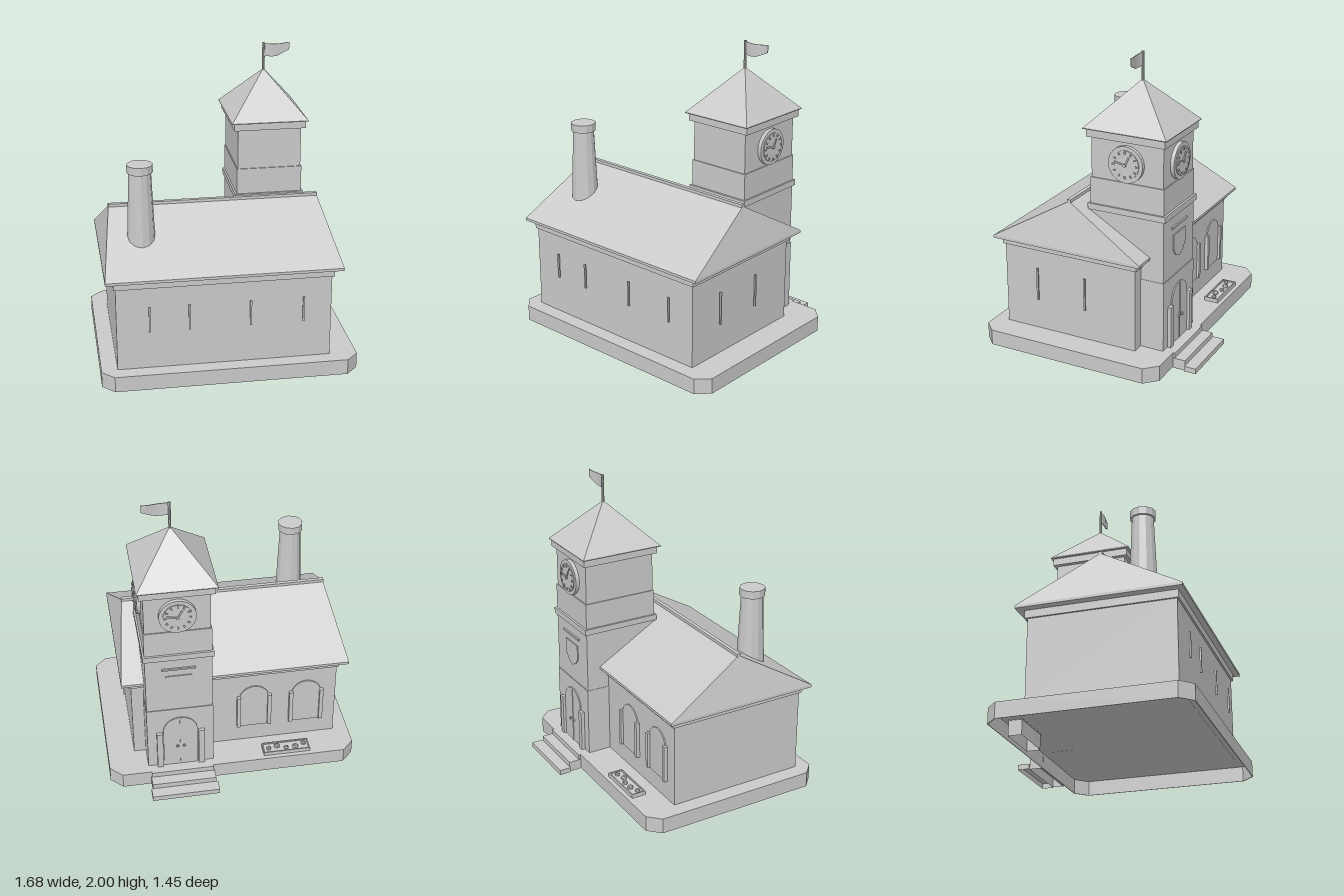
import * as THREE from 'three';
import { ConvexGeometry } from 'three/addons/geometries/ConvexGeometry.js';

// Double sided because the steps and planter are shells without a bottom
const stone = new THREE.MeshStandardMaterial({ color: 0xcacaca, flatShading: true, side: THREE.DoubleSide });
stone.name = 'light grey';

function add(parent, name, geometry, x = 0, y = 0, z = 0) {
  const mesh = new THREE.Mesh(geometry, stone);
  mesh.name = name;
  mesh.position.set(x, y, z);
  parent.add(mesh);
  return mesh;
}

// Box given by its limits on each axis
function box(parent, name, x0, x1, y0, y1, z0, z1) {
  return add(parent, name, new THREE.BoxGeometry(x1 - x0, y1 - y0, z1 - z0),
    (x0 + x1) / 2, (y0 + y1) / 2, (z0 + z1) / 2);
}

// The same box without its bottom face
function openBox(...args) {
  const { geometry } = box(...args);
  const index = Array.from(geometry.index.array);
  index.splice(18, 6);
  geometry.setIndex(index);
  geometry.clearGroups();
}

// Box centred on (x, z)
function block(parent, name, x, z, halfX, halfZ, y0, y1) {
  return box(parent, name, x - halfX, x + halfX, y0, y1, z - halfZ, z + halfZ);
}

// Solid roof: eaves rectangle with a thin rim, rising to a ridge (or a point)
function roof(parent, name, x0, x1, z0, z1, y0, y1, ridgeX0, ridgeX1, ridgeZ, top) {
  const points = [];
  for (const x of [x0, x1]) for (const z of [z0, z1]) for (const y of [y0, y1])
    points.push(new THREE.Vector3(x, y, z));
  points.push(new THREE.Vector3(ridgeX0, top, ridgeZ));
  if (ridgeX1 !== ridgeX0) points.push(new THREE.Vector3(ridgeX1, top, ridgeZ));
  return add(parent, name, new ConvexGeometry(points));
}

// Extruded shape facing the back (-z), starting on the wall at z
function backPlate(parent, name, shape, x, y, z, depth) {
  const geometry = new THREE.ExtrudeGeometry(shape, { depth, bevelEnabled: false, curveSegments: 10 });
  const mesh = add(parent, name, geometry, x, y, z);
  mesh.rotation.y = Math.PI;
  return mesh;
}

function archShape(half, spring) {
  const s = new THREE.Shape();
  s.moveTo(-half, 0);
  s.lineTo(half, 0);
  s.lineTo(half, spring);
  s.absarc(0, spring, half, 0, Math.PI, false);
  s.closePath();
  return s;
}

// Outline of the base: rectangle with cut corners
function cutCorners(x, z, c) {
  return [[-x + c, -z], [x - c, -z], [x, -z + c], [x, z - c],
    [x - c, z], [-x + c, z], [-x, z - c], [-x, -z + c]].map(p => new THREE.Vector2(...p));
}

// Horizontal slab of a shape, from y upwards
function slab(parent, name, shape, y, depth) {
  const geometry = new THREE.ExtrudeGeometry(shape, { depth, bevelEnabled: false });
  geometry.rotateX(-Math.PI / 2);
  add(parent, name, geometry, 0, y, 0.08);
}

// Clock facing +z with its back at z = 0
function makeClock(name) {
  const clock = new THREE.Group();
  clock.name = name;
  const disc = (part, r, depth, z) => {
    const g = new THREE.CylinderGeometry(r, r, depth, 24);
    g.rotateX(Math.PI / 2);
    return add(clock, part, g, 0, 0, z + depth / 2);
  };
  disc('clockCase', 0.12, 0.025, 0);
  disc('clockFace', 0.095, 0.006, 0.025);
  for (let i = 0; i < 12; i++) {
    const a = i * Math.PI / 6;
    const tick = add(clock, 'hourMark', new THREE.BoxGeometry(0.009, 0.015, 0.008),
      Math.sin(a) * 0.08, Math.cos(a) * 0.08, 0.034);
    tick.rotation.z = -a;
  }
  const hand = (part, length, angle) => {
    const g = new THREE.BoxGeometry(0.01, length, 0.006);
    g.translate(0, length / 2, 0);
    add(clock, part, g, 0, 0, 0.036).rotation.z = angle;
  };
  hand('hourHand', 0.058, -0.5);
  hand('minuteHand', 0.072, 1.35);
  disc('clockHub', 0.01, 0.014, 0.029);
  return clock;
}

export function createModel() {
  const model = new THREE.Group();
  model.name = 'townHall';

  // Hollow base, open below: a thin rim under a top plate
  const rim = new THREE.Shape(cutCorners(0.84, 0.64, 0.08));
  rim.holes.push(new THREE.Path(cutCorners(0.836, 0.636, 0.079)));
  slab(model, 'baseRim', rim, 0, 0.105);
  slab(model, 'baseTop', new THREE.Shape(cutCorners(0.839, 0.639, 0.08)), 0.101, 0.004);

  // Steps behind the base
  openBox(model, 'step', 0.145, 0.565, 0, 0.105, -0.575, -0.555);
  openBox(model, 'step', 0.14, 0.57, 0, 0.07, -0.648, -0.565);
  openBox(model, 'step', 0.128, 0.58, 0, 0.035, -0.727, -0.648);

  // Hall
  box(model, 'hallWalls', -0.735, 0.659, 0.1, 0.68, -0.335, 0.62);
  box(model, 'hallCornice', -0.747, 0.673, 0.67, 0.722, -0.35, 0.632);
  roof(model, 'hallRoof', -0.8, 0.725, -0.397, 0.67, 0.722, 0.74, -0.73, 0.655, 0.135, 1.05);
  box(model, 'ridgeCap', -0.733, 0.657, 1.035, 1.062, 0.122, 0.148);

  // Slim window bars standing just off the front and left walls
  for (const x of [-0.523, -0.268, 0.128, 0.473])
    box(model, 'frontWindowBar', x - 0.006, x + 0.006, 0.37, 0.54, 0.632, 0.643);
  for (const z of [0.37, 0.02])
    box(model, 'sideWindowBar', 0.674, 0.685, 0.32, 0.545, z - 0.006, z + 0.006);

  // Arched back windows with jambs
  for (const x of [-0.17, -0.53]) {
    backPlate(model, 'backWindow', archShape(0.1, 0.24), x, 0.23, -0.335, 0.008);
    for (const s of [-1, 1])
      block(model, 'windowJamb', x + s * 0.105, -0.345, 0.013, 0.015, 0.235, 0.49);
  }

  // Chimney
  add(model, 'chimneyStack', new THREE.CylinderGeometry(0.071, 0.094, 0.56, 12), -0.54, 1.085, 0.355);
  add(model, 'chimneyCap', new THREE.CylinderGeometry(0.083, 0.083, 0.052, 12), -0.54, 1.376, 0.355);

  // Clock tower
  const tx = 0.357, tz = -0.235;
  block(model, 'towerFoot', tx, tz, 0.222, 0.262, 0.1, 0.58);
  block(model, 'towerBody', tx, tz, 0.219, 0.257, 0.57, 1.21);
  block(model, 'towerBand', tx, tz, 0.231, 0.272, 0.995, 1.035);
  block(model, 'clockRoom', tx, tz, 0.212, 0.25, 1.2, 1.49);
  block(model, 'towerCornice', tx, tz, 0.24, 0.272, 1.48, 1.535);
  roof(model, 'towerRoof', 0.1, 0.61, -0.52, 0.055, 1.53, 1.535, tx, tx, tz, 1.825);

  const leftClock = makeClock('leftClock');
  leftClock.position.set(tx + 0.212, 1.335, tz);
  leftClock.rotation.y = Math.PI / 2;
  const backClock = makeClock('backClock');
  backClock.position.set(tx, 1.335, tz - 0.25);
  backClock.rotation.y = Math.PI;
  model.add(leftClock, backClock);

  // Arched double door with posts and handles
  backPlate(model, 'door', archShape(0.115, 0.29), tx, 0.105, -0.497, 0.008);
  box(model, 'doorSeam', tx - 0.004, tx + 0.004, 0.105, 0.5, -0.509, -0.504);
  for (const s of [-1, 1]) {
    block(model, 'doorPost', tx + s * 0.14, -0.505, 0.02, 0.016, 0.105, 0.39);
    add(model, 'doorHandle', new THREE.IcosahedronGeometry(0.011, 0), tx + s * 0.022, 0.27, -0.513);
  }

  // Plain shield with a bar above it
  box(model, 'shieldBar', tx - 0.11, tx + 0.11, 0.91, 0.922, -0.503, -0.49);
  const shield = new THREE.Shape([[-0.085, 0.17], [-0.085, 0.07], [-0.05, 0.025], [0, 0],
    [0.05, 0.025], [0.085, 0.07], [0.085, 0.17]].map(p => new THREE.Vector2(...p)));
  backPlate(model, 'shield', shield, tx, 0.69, -0.492, 0.007);

  // Flagpole and waving flag, narrower towards its free end
  add(model, 'flagpole', new THREE.CylinderGeometry(0.009, 0.009, 0.2, 8), tx, 1.9, tz);
  const cloth = new THREE.BoxGeometry(0.175, 0.085, 0.005, 6, 1, 1);
  const p = cloth.attributes.position;
  for (let i = 0; i < p.count; i++) {
    const t = p.getX(i) / 0.175 + 0.5;
    const lift = p.getY(i) < 0 ? 0.035 * Math.max(0, t - 0.45) / 0.55 : 0;
    p.setY(i, p.getY(i) + lift - 0.006 * Math.sin(t * Math.PI));
    p.setZ(i, p.getZ(i) + 0.008 * Math.sin(t * Math.PI * 1.5));
  }
  add(model, 'flag', cloth, 0.445, 1.953, tz);

  // Planter sunk through the base, with flowers
  openBox(model, 'planter', -0.525, -0.215, 0, 0.122, -0.525, -0.435);
  for (const z of [-0.53, -0.438]) box(model, 'planterRim', -0.53, -0.21, 0.1, 0.132, z, z + 0.008);
  for (const x of [-0.53, -0.218]) box(model, 'planterRim', x, x + 0.008, 0.1, 0.132, -0.53, -0.43);
  const flowers = [[-0.495, -0.47], [-0.435, -0.49], [-0.37, -0.493], [-0.31, -0.47], [-0.25, -0.485]];
  flowers.forEach(([x, z], i) => {
    add(model, 'flower', new THREE.IcosahedronGeometry(i % 2 ? 0.022 : 0.018, 0), x, 0.126, z).rotation.y = i;
  });

  return model;
}
